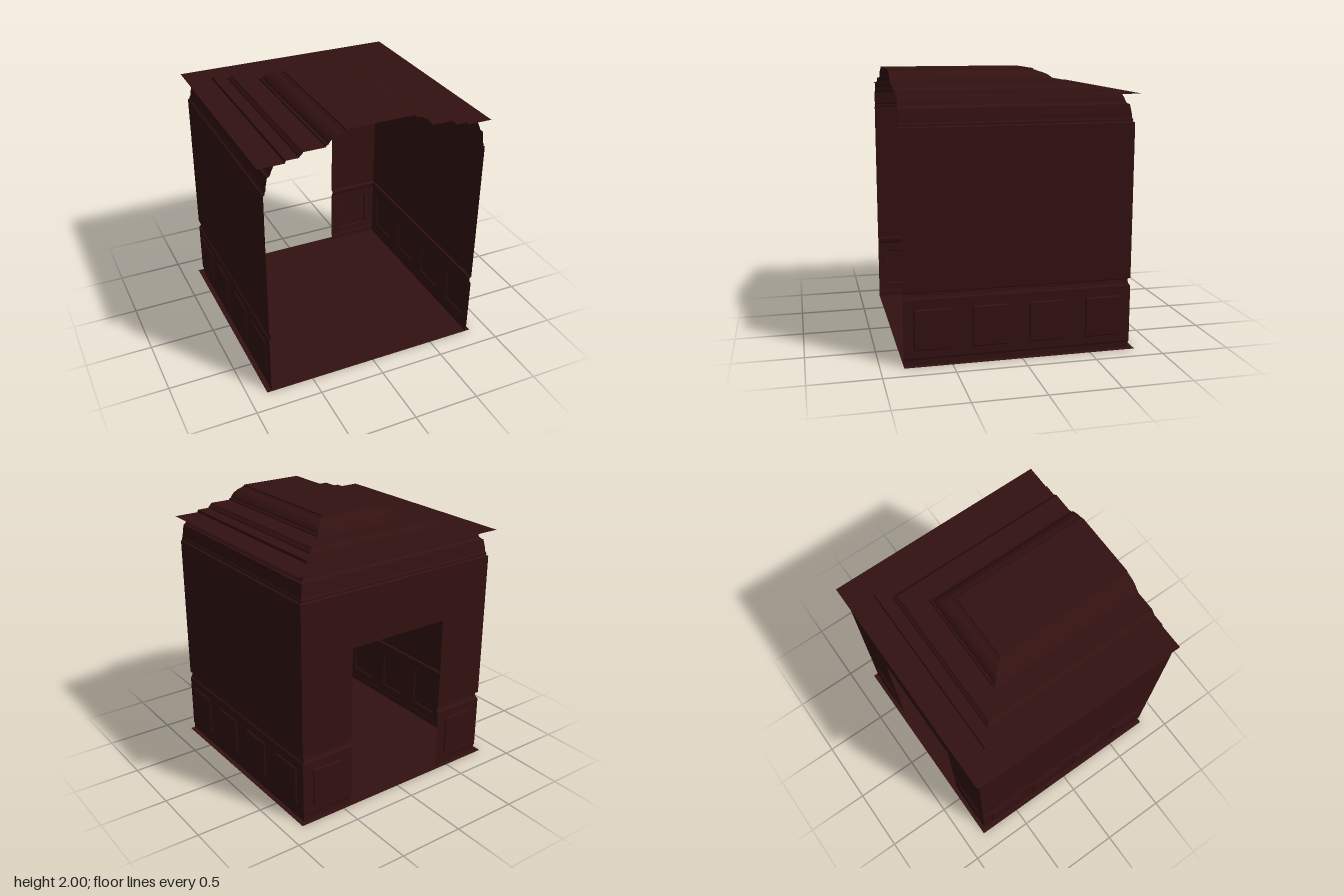
import * as THREE from 'three';

const FRONT = 0.838;      // z of the open front edge
const SHIFT = 0.022;      // the back sits this much nearer than the sides
const WALL = 0.828;       // half width between the walls
const DOOR = { half: 0.41, top: 1.235 };
const DADO = { bottom: 0.055, top: 0.47 };
const PANEL = { w: 0.258, bottom: 0.108, top: 0.402, depth: 0.009, bevel: 0.008 };

const material = new THREE.MeshStandardMaterial({ color: 0x331111, side: THREE.DoubleSide });

const backZ = (d) => SHIFT - d;

// Plan paths at inset d, walked so that faces look into the room
const fullPath = (d) => [[-d, FRONT], [-d, backZ(d)], [d, backZ(d)], [d, FRONT]];
const leftPath = (d) => [[-d, FRONT], [-d, backZ(d)], [-DOOR.half, backZ(d)]];
const rightPath = (d) => [[DOOR.half, backZ(d)], [d, backZ(d)], [d, FRONT]];

function quadGeometry(quads) {
  const pos = [];
  for (const [a, b, c, d] of quads) pos.push(...a, ...b, ...c, ...a, ...c, ...d);
  const g = new THREE.BufferGeometry();
  g.setAttribute('position', new THREE.Float32BufferAttribute(pos, 3));
  g.computeVertexNormals();
  return g;
}

// Sweeps a [distance, height] profile along a mitred plan path
function sweep(profile, path) {
  const rows = profile.map(([d, y]) => path(d).map(([x, z]) => [x, y, z]));
  const quads = [];
  for (let i = 0; i < rows.length - 1; i++)
    for (let j = 0; j < rows[i].length - 1; j++)
      quads.push([rows[i][j], rows[i][j + 1], rows[i + 1][j + 1], rows[i + 1][j]]);
  return quadGeometry(quads);
}

function mesh(name, geometry) {
  const m = new THREE.Mesh(geometry, material);
  m.name = name;
  return m;
}

const rect = (x0, x1, y0, y1, z = 0) => [[x0, y0, z], [x1, y0, z], [x1, y1, z], [x0, y1, z]];

// Flat wainscot strip with sunken square panels, facing +z
function wainscot(name, u0, u1, centres) {
  const group = new THREE.Group();
  group.name = name;
  const toPoints = (r) => r.map(([x, y]) => new THREE.Vector2(x, y));
  const shape = new THREE.Shape(toPoints(rect(u0, u1, DADO.bottom, DADO.top)));
  for (const c of centres) {
    const h = PANEL.w / 2, b = PANEL.bevel;
    const outer = rect(c - h, c + h, PANEL.bottom, PANEL.top);
    const inner = rect(c - h + b, c + h - b, PANEL.bottom + b, PANEL.top - b, -PANEL.depth);
    shape.holes.push(new THREE.Path(toPoints(outer)));
    const quads = [inner];
    for (let i = 0; i < 4; i++) {
      const n = (i + 1) % 4;
      quads.push([outer[i], outer[n], inner[n], inner[i]]);
    }
    group.add(mesh('sunkenPanel', quadGeometry(quads)));
  }
  group.add(mesh('wainscotFrame', new THREE.ShapeGeometry(shape)));
  return group;
}

export function createModel() {
  const room = new THREE.Group();
  room.name = 'room';

  // Floor
  const floor = mesh('floor', new THREE.PlaneGeometry(1.72, FRONT * 2));
  floor.rotation.x = -Math.PI / 2;
  room.add(floor);

  // Skirting, chair rail and wall up to the door head, broken by the doorway
  const skirting = [[0.822, 0], [0.822, 0.04], [0.825, 0.046], [WALL, DADO.bottom]];
  const rail = [[WALL, DADO.top], [0.82, 0.478], [0.814, 0.495], [0.812, 0.515], [0.816, 0.52], [WALL, 0.524]];
  const lowerWall = [[WALL, 0.524], [WALL, DOOR.top]];
  for (const [side, path] of [['left', rightPath], ['right', leftPath]]) {
    room.add(mesh(side + 'Skirting', sweep(skirting, path)));
    room.add(mesh(side + 'ChairRail', sweep(rail, path)));
    room.add(mesh(side + 'LowerWall', sweep(lowerWall, path)));
  }

  // Wall above the door head and the crown moulding
  room.add(mesh('upperWall', sweep([[WALL, DOOR.top], [WALL, 1.645]], fullPath)));
  const crown = [[WALL, 1.645], [0.817, 1.652], [0.817, 1.667], [0.811, 1.678], [0.808, 1.71],
    [0.797, 1.77], [0.785, 1.775], [0.775, 1.787], [0.768, 1.81], [0.75, 1.846]];
  room.add(mesh('crownMoulding', sweep(crown, fullPath)));

  // Wainscot strips on the sides and beside the doorway
  const sideCentres = [0.637, 0.226, -0.185, -0.597];
  const leftStrip = wainscot('leftWainscot', backZ(WALL), FRONT, sideCentres);
  leftStrip.rotation.y = -Math.PI / 2;
  leftStrip.position.x = WALL;
  const rightStrip = wainscot('rightWainscot', -FRONT, -backZ(WALL), sideCentres.map((c) => -c));
  rightStrip.rotation.y = Math.PI / 2;
  rightStrip.position.x = -WALL;
  room.add(leftStrip, rightStrip);
  for (const s of [-1, 1]) {
    const ends = [s * DOOR.half, s * WALL].sort((a, b) => a - b);
    const strip = wainscot('backWainscot', ends[0], ends[1], [s * 0.618]);
    strip.position.z = backZ(WALL);
    room.add(strip);
  }

  // Stepped ceiling with a cove around the raised centre
  const ceiling = [[0.86, 1.846], [0.673, 1.846], [0.667, 1.865], [0.577, 1.865], [0.572, 1.875],
    [0.555, 1.89], [0.548, 1.9], [0.392, 1.9], [0.386, 1.912], [0.374, 1.915], [0.366, 1.93],
    [0.345, 1.952], [0.31, 1.972], [0.272, 1.983], [0.266, 1.988], [0.254, 1.99], [0.25, 2], [0, 2]];
  room.add(mesh('ceiling', sweep(ceiling, fullPath)));

  return room;
}
